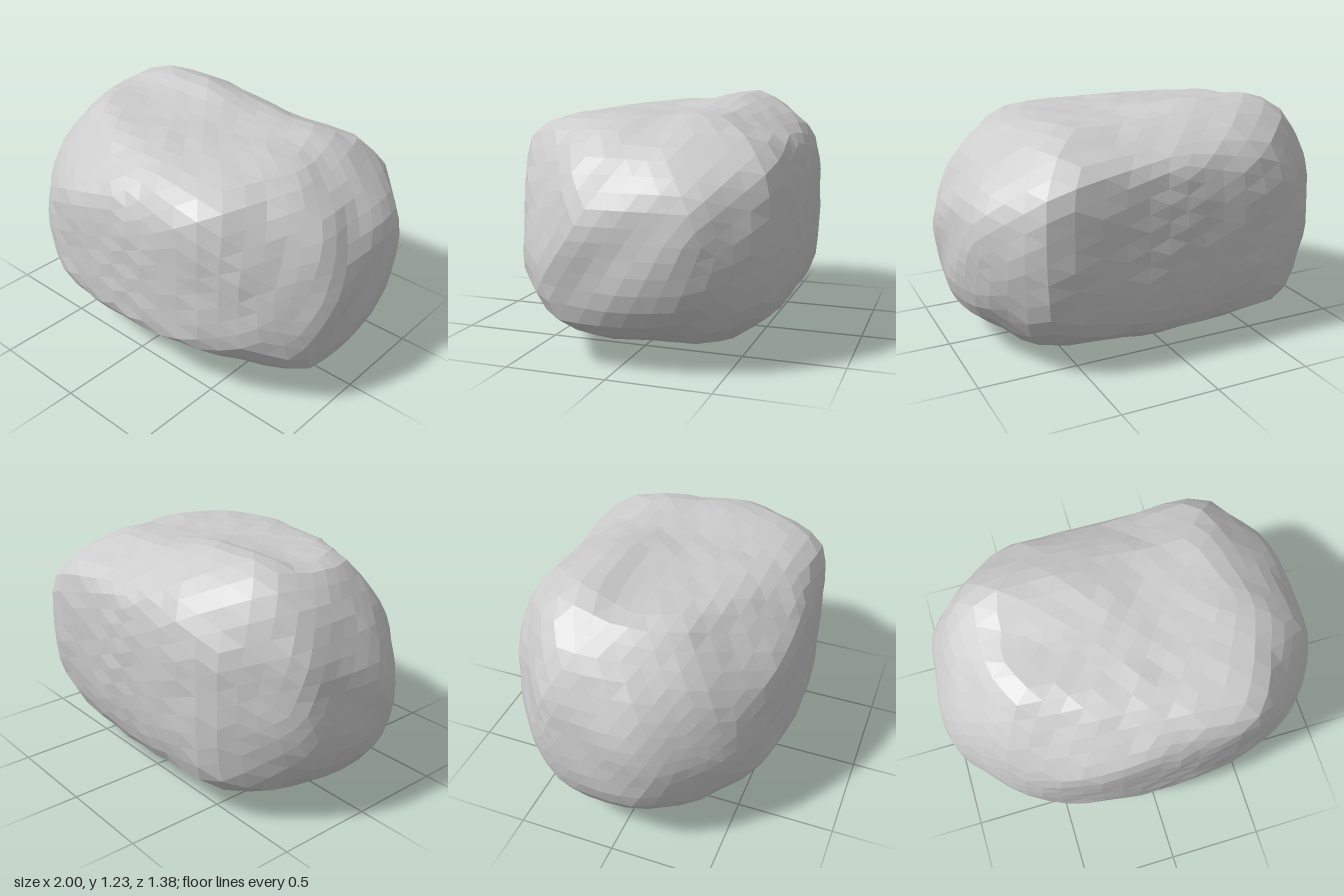
import * as THREE from 'three';

const MID = 0.625; // half of the rock's height

// Smooth closed outline around the rock's middle, in the plane facing a compass turn and tilt (degrees)
function outline(turn, tilt, points) {
  const a = THREE.MathUtils.degToRad(turn), e = THREE.MathUtils.degToRad(tilt);
  const across = new THREE.Vector3(Math.cos(a), 0, -Math.sin(a));
  const up = new THREE.Vector3(-Math.sin(a) * Math.sin(e), Math.cos(e), -Math.cos(a) * Math.sin(e));
  const curve = new THREE.CatmullRomCurve3(points.map(([x, y]) => new THREE.Vector3(x, y, 0)), true);
  return { across, up, loop: curve.getPoints(48) };
}

const front = outline(0, 0, [
  [0.05, -0.625], [0.5, -0.53], [0.87, -0.48], [0.96, -0.32], [0.99, 0.1], [0.69, 0.49], [0.1, 0.54],
  [-0.28, 0.625], [-0.68, 0.56], [-0.93, 0.24], [-1, -0.2], [-0.83, -0.47], [-0.4, -0.545],
]);
const side = outline(90, 0, [
  [0.21, -0.625], [0.53, -0.55], [0.66, -0.3], [0.66, 0.35], [0.45, 0.61], [0.3, 0.625],
  [0.12, 0.565], [-0.4, 0.525], [-0.56, 0.48], [-0.65, 0.33], [-0.69, 0.05], [-0.64, -0.34], [-0.13, -0.555],
]);
const plan = outline(0, 90, [
  [-1, 0.1], [-0.91, 0.44], [-0.56, 0.66], [0, 0.69], [0.64, 0.69], [0.88, 0.56],
  [1, 0.1], [0.93, -0.38], [0.62, -0.59], [0, -0.68], [-0.62, -0.56], [-0.92, -0.32],
]);
const frontLeftSlant = outline(45, 19, [
  [-0.28, 0.78], [0.05, 0.73], [0.45, 0.52], [0.93, 0.33], [0.99, -0.01],
  [0.92, -0.38], [0.51, -0.67], [-0.22, -0.55], [-0.75, -0.34], [-0.87, 0], [-0.73, 0.41],
]);
const backRightSlant = outline(225, 19, [
  [-0.33, 0.67], [0.22, 0.64], [0.72, 0.27], [0.88, -0.15],
  [0.73, -0.54], [0.42, -0.7], [-0.19, -0.66], [-0.9, -0.33], [-0.99, 0.05], [-0.93, 0.3],
]);
const underSlant = outline(135, -19, [
  [-0.21, 0.75], [0.22, 0.62], [0.76, 0.44], [0.92, -0.06], [0.84, -0.49],
  [0.52, -0.68], [0.12, -0.65], [-0.88, -0.2], [-0.8, 0.36], [-0.65, 0.55],
]);
const outlines = [front, side, plan, frontLeftSlant, backRightSlant, underSlant];

// Inverse of the distance from the middle to an outline along a direction
function inverseReach(dir, { across, up, loop }) {
  const dx = dir.dot(across), dy = dir.dot(up);
  let reach = 0;
  for (let i = 0; i < loop.length - 1; i++) {
    const a = loop[i], ex = loop[i + 1].x - a.x, ey = loop[i + 1].y - a.y;
    const cross = dx * ey - dy * ex;
    if (Math.abs(cross) < 1e-9) continue;
    const t = (a.x * dy - a.y * dx) / cross;
    if (t >= -1e-4 && t <= 1.0001) reach = Math.max(reach, (a.x * ey - a.y * ex) / cross);
  }
  return reach > 0 ? 1 / reach : 0;
}

// Gentle uneven chipping
const chips = (p) => 0.007 * (Math.sin(9 * p.x + 5 * p.y + 1) * Math.sin(11 * p.z - 4 * p.x)
  + Math.sin(17 * p.y + 13 * p.z) * Math.sin(19 * p.x + 2));

export function createModel() {
  const group = new THREE.Group();
  group.name = 'rock';

  // Sphere pushed out to the softened intersection of all outlines
  const geo = new THREE.IcosahedronGeometry(1, 9);
  const pos = geo.attributes.position;
  const p = new THREE.Vector3();
  const softness = 1 / 50;
  for (let i = 0; i < pos.count; i++) {
    p.fromBufferAttribute(pos, i);
    p.set(p.x, p.y * 0.68, p.z * 0.74).normalize();
    const sum = outlines.reduce((s, o) => s + inverseReach(p, o) ** (1 / softness), 0);
    p.multiplyScalar(sum ** -softness * (1.008 + chips(p)));
    pos.setXYZ(i, p.x, p.y + MID, p.z);
  }
  geo.computeVertexNormals();

  const boulder = new THREE.Mesh(geo, new THREE.MeshStandardMaterial({ color: 0xcccccc, flatShading: true }));
  boulder.name = 'boulder';
  group.add(boulder);
  return group;
}
